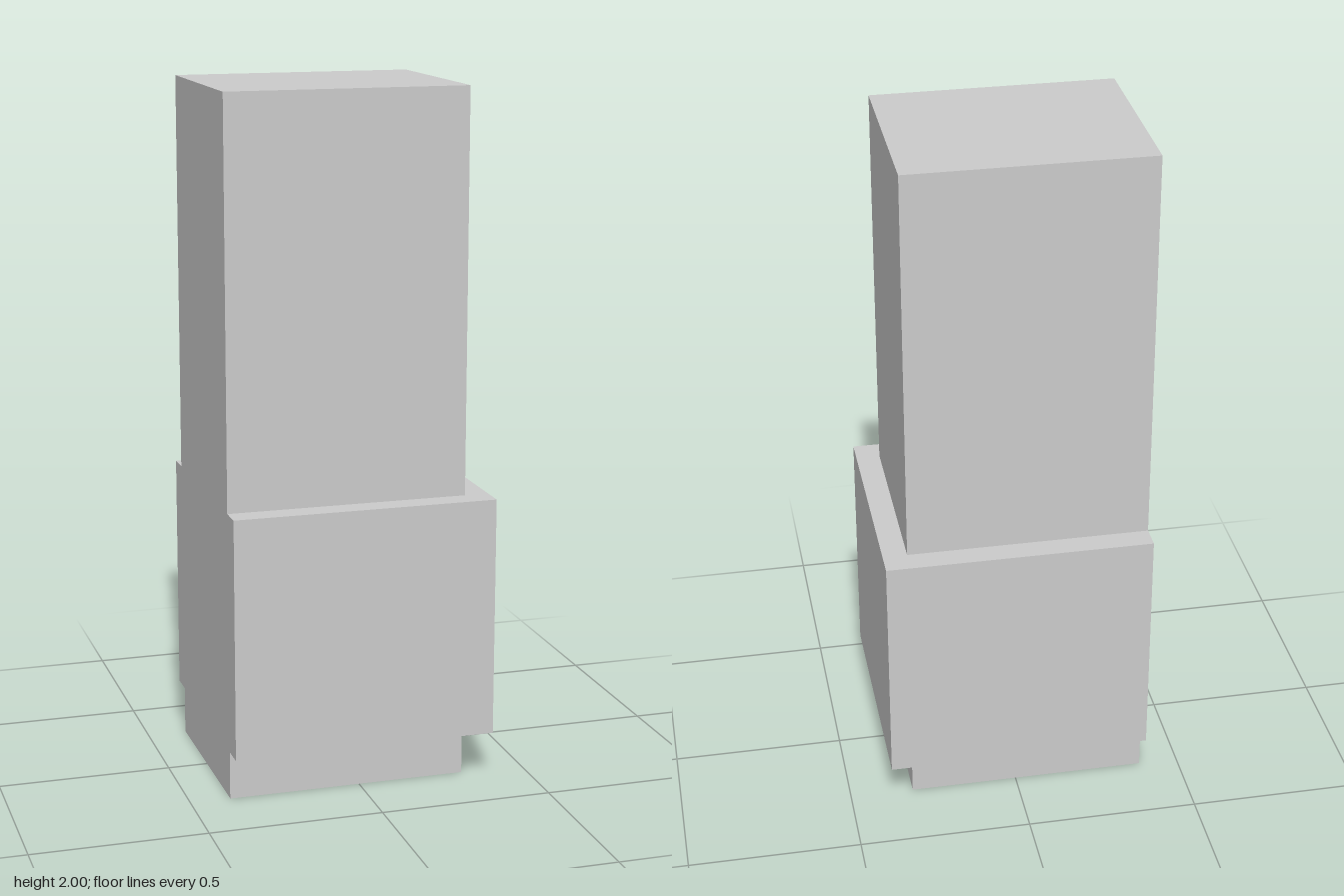
import * as THREE from 'three';

const BACK_X = -0.384; // all sections sit flush on this side

export function createModel() {
  const model = new THREE.Group();
  model.name = 'collaredPost';
  const material = new THREE.MeshStandardMaterial({ color: 0xcccccc, flatShading: true });

  // One block of the post, from y0 to y1, flush with the -x side
  const addSection = (name, width, depth, y0, y1) => {
    const mesh = new THREE.Mesh(new THREE.BoxGeometry(width, y1 - y0, depth), material);
    mesh.name = name;
    mesh.position.set(BACK_X + width / 2, (y0 + y1) / 2, 0);
    model.add(mesh);
  };

  addSection('foot', 0.698, 0.558, 0, 0.14);
  addSection('collar', 0.768, 0.698, 0.14, 0.84); // overhangs on three sides
  addSection('shaft', 0.698, 0.558, 0.84, 2);

  return model;
}
